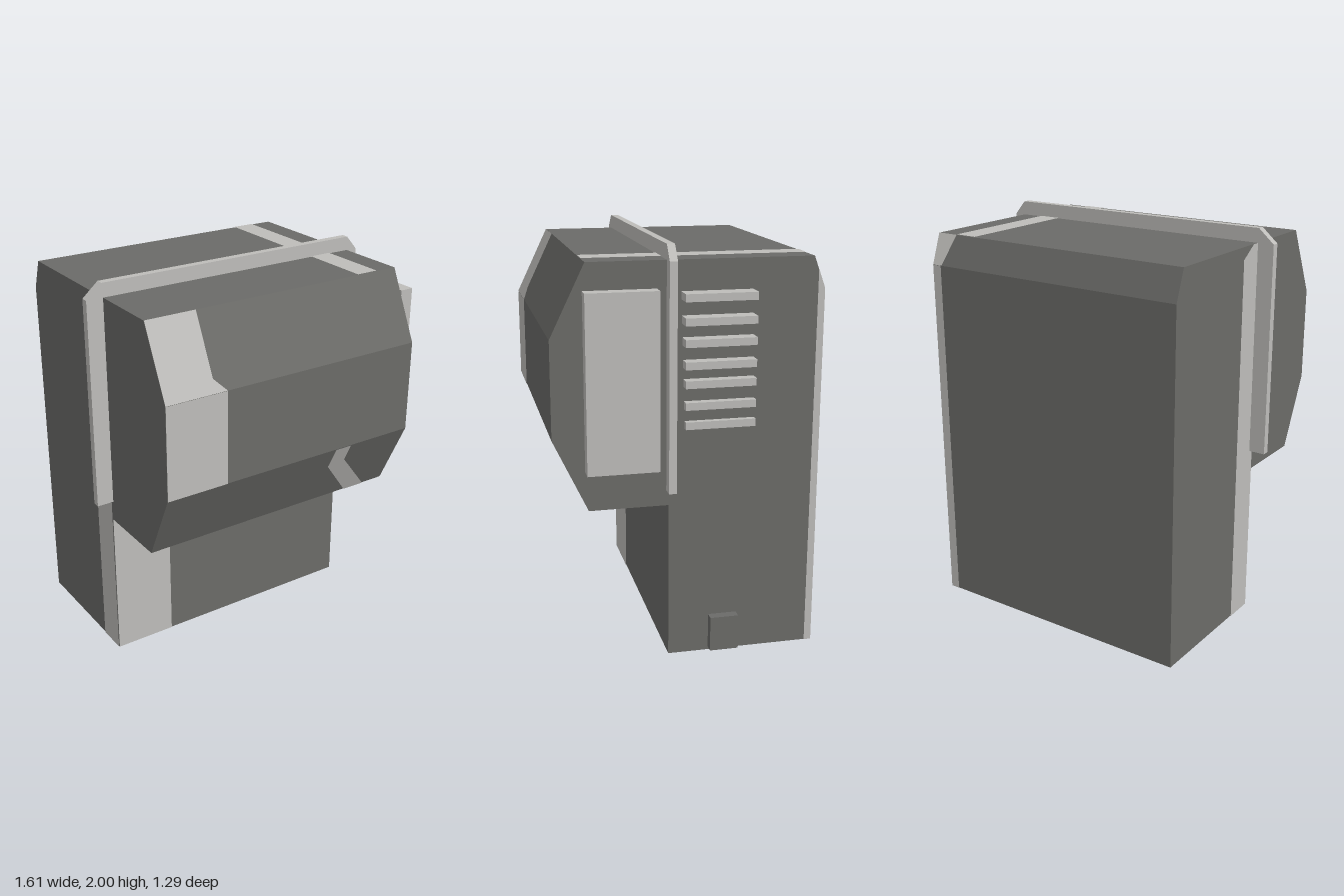
import * as THREE from 'three';

const dark = new THREE.MeshStandardMaterial({ color: 0x6b6b68 });
dark.name = 'dark grey';
const light = new THREE.MeshStandardMaterial({ color: 0xbebdba });
light.name = 'light grey';

const LEFT = 0.69, RIGHT = -0.72; // side walls

export function createModel() {
  const group = new THREE.Group();

  const add = (name, geometry, material) => {
    const mesh = new THREE.Mesh(geometry, material);
    mesh.name = name;
    group.add(mesh);
    return mesh;
  };

  // Box given by its lower and upper corner
  const box = (name, a, b, material) => {
    const mesh = add(name, new THREE.BoxGeometry(b[0] - a[0], b[1] - a[1], b[2] - a[2]), material);
    mesh.position.set((a[0] + b[0]) / 2, (a[1] + b[1]) / 2, (a[2] + b[2]) / 2);
  };

  // Side profile of [z, y] points, extruded across the full width
  const slab = (name, profile) => {
    const shape = new THREE.Shape(profile.map(([z, y]) => new THREE.Vector2(-z, y)));
    const geometry = new THREE.ExtrudeGeometry(shape, { depth: LEFT - RIGHT, bevelEnabled: false });
    geometry.rotateY(Math.PI / 2).translate(RIGHT, 0, 0);
    add(name, geometry, dark);
  };

  // Convex painted face, turned outward and lifted just off the surface
  const paint = (name, corners) => {
    const p = corners.map((c) => new THREE.Vector3(...c));
    const normal = new THREE.Vector3().crossVectors(p[1].clone().sub(p[0]), p[2].clone().sub(p[0])).normalize();
    if (normal.dot(p[0].clone().sub(new THREE.Vector3(0, 1, 0))) < 0) {
      normal.negate();
      p.reverse();
    }
    p.forEach((v) => v.addScaledVector(normal, 0.003));
    const points = [];
    for (let i = 1; i < p.length - 1; i++) points.push(p[0], p[i], p[i + 1]);
    const geometry = new THREE.BufferGeometry().setFromPoints(points);
    geometry.computeVertexNormals();
    add(name, geometry, light);
  };

  // Main masses
  slab('body', [[0.095, 0], [0.095, 1.93], [-0.585, 1.93], [-0.64, 1.78], [-0.64, 0]]);
  slab('head', [[0.095, 0.775], [0.475, 0.775], [0.64, 1.125], [0.64, 1.59], [0.475, 1.93], [0.095, 1.93]]);

  // Raised frame over the seam, open at the bottom
  const outline = [[-0.805, 0.88], [-0.805, 1.93], [-0.725, 2], [0.69, 2], [0.75, 1.93], [0.75, 0.85],
    [0.685, 0.85], [0.685, 1.92], [-0.715, 1.92], [-0.715, 0.88]];
  const frame = new THREE.ExtrudeGeometry(
    new THREE.Shape(outline.map(([x, y]) => new THREE.Vector2(x, y))), { depth: 0.037, bevelEnabled: false });
  add('seamFrame', frame.translate(0, 0, 0.07), light);

  // Side fittings
  box('sidePanel', [0.73, 0.98, 0.16], [0.8, 1.81, 0.495], light);
  box('sideButton', [0.68, 0.015, -0.245], [0.735, 0.19, -0.105], dark);
  [1.77, 1.66, 1.56, 1.455, 1.365, 1.26, 1.165].forEach((y, i) => {
    const shift = i * 0.003;
    box('ventSlat' + (i + 1), [0.68, y - 0.018, -0.295 - shift], [0.78 - i * 0.01, y + 0.018, 0.04 - shift], light);
  });

  // Painted band on the head and body front
  const slopeZ = (y) => 0.64 - (y - 1.59) * 0.165 / 0.34;
  paint('headFrontBand', [[RIGHT, 1.125, 0.64], [-0.4, 1.125, 0.64], [-0.4, 1.59, 0.64], [RIGHT, 1.59, 0.64]]);
  paint('headSlopeBand', [[RIGHT, 1.59, 0.64], [-0.4, 1.59, 0.64], [-0.46, 1.65, slopeZ(1.65)],
    [-0.46, 1.93, 0.475], [RIGHT, 1.93, 0.475]]);
  paint('bodyFrontBand', [[RIGHT, 0, 0.095], [-0.4, 0, 0.095], [-0.4, 0.775, 0.095], [RIGHT, 0.775, 0.095]]);
  paint('bodySideBand', [[RIGHT, 0, 0.095], [RIGHT, 1.93, 0.095], [RIGHT, 1.93, 0.03],
    [RIGHT, 1.87, -0.06], [RIGHT, 0, -0.06]]);

  // Stripe: bent over the chin, under the head, across the top and the base
  const chin = (x, y) => [x, y, 0.475 + (y - 0.775) * 0.165 / 0.35];
  paint('chinStripeUpper', [chin(0.24, 1.125), chin(0.33, 1.125), chin(0.33, 1.03), chin(0.235, 1.01)]);
  paint('chinStripeLower', [chin(0.235, 1.01), chin(0.33, 1.03), chin(0.565, 0.775), chin(0.44, 0.775)]);
  paint('headBaseStripe', [[0.44, 0.775, 0.475], [0.565, 0.775, 0.475], [0.565, 0.775, 0.095], [0.44, 0.775, 0.095]]);
  paint('topStripe', [[0.46, 1.93, 0.475], [0.575, 1.93, 0.475], [0.575, 1.93, -0.585], [0.46, 1.93, -0.585]]);
  paint('baseStripe', [[0.45, 0, 0.095], [0.575, 0, 0.095], [0.575, 0, -0.6], [0.45, 0, -0.6]]);

  // Rear corner trim
  paint('rearChamferTrim', [[0.575, 1.93, -0.585], [LEFT, 1.93, -0.585], [LEFT, 1.78, -0.64],
    [0.635, 1.78, -0.64], [0.63, 1.82, -0.6253]]);
  paint('rearTrim', [[0.64, 0, -0.64], [LEFT, 0, -0.64], [LEFT, 1.78, -0.64], [0.64, 1.78, -0.64]]);
  paint('rearSideTrim', [[LEFT, 0, -0.605], [LEFT, 0, -0.64], [LEFT, 1.78, -0.64], [LEFT, 1.87, -0.607]]);

  return group;
}
